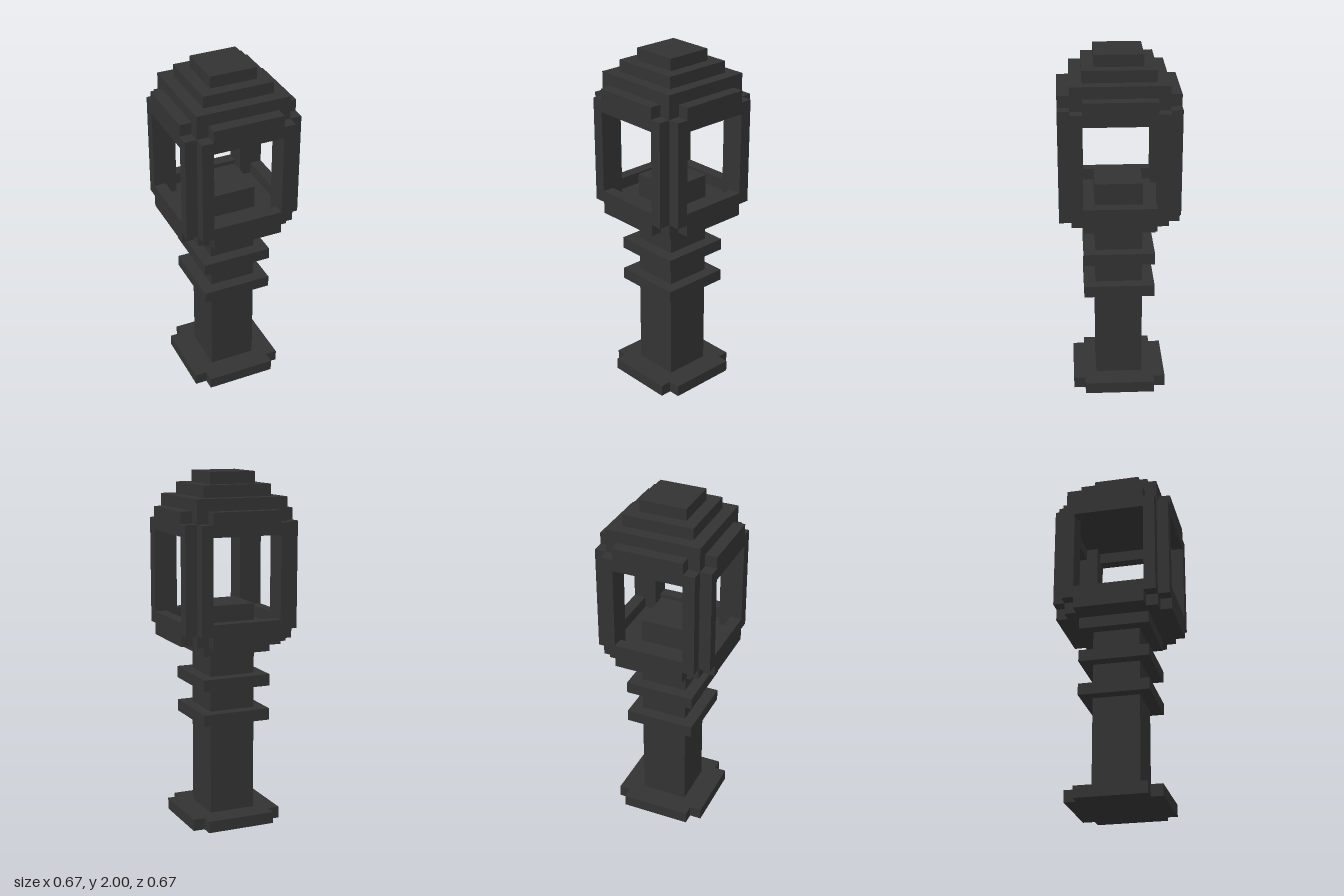
import * as THREE from 'three';

const U = 1 / 15; // one block

export function createModel() {
  const model = new THREE.Group();
  model.name = 'lampPost';
  const material = new THREE.MeshStandardMaterial({ color: 0x333333, flatShading: true });

  // Box given by its centre x, z, its bottom and top, and its width and depth, all in blocks
  const box = (parent, name, x, z, y0, y1, w, d) => {
    const mesh = new THREE.Mesh(new THREE.BoxGeometry(w * U, (y1 - y0) * U, d * U), material);
    mesh.position.set(x * U, ((y0 + y1) / 2) * U, z * U);
    mesh.name = name;
    parent.add(mesh);
  };
  // Square block on the centre axis
  const slab = (name, y0, y1, w) => box(model, name, 0, 0, y0, y1, w, w);

  // Foot plate with notched corners
  const base = new THREE.Group();
  base.name = 'base';
  model.add(base);
  box(base, 'basePlate', 0, 0, 0, 1, 8, 6);
  for (const s of [-1, 1]) box(base, 'baseEdge', 0, 3.5 * s, 0, 1, 6, 1);

  // Column and its collars
  slab('column', 1, 15, 4);
  slab('lowerCollar', 9, 10, 6);
  slab('middleCollar', 12, 13, 6);
  slab('topCollar', 15, 16, 6);

  // Lantern floor with lamp block, and the stepped roof
  slab('lanternFloor', 16, 17, 8);
  slab('lampBlock', 17, 19, 4);
  slab('roofBase', 26, 28, 8);
  slab('roofStep', 28, 29, 6);
  slab('roofCap', 29, 30, 4);

  // Four window frames, one per side, each with one inner corner post
  for (let i = 0; i < 4; i++) {
    const frame = new THREE.Group();
    frame.name = 'windowFrame';
    frame.rotation.y = (i * Math.PI) / 2;
    box(frame, 'sill', 0, 4.5, 16, 18, 6, 1);
    box(frame, 'lintel', 0, 4.5, 25, 27, 6, 1);
    for (const s of [-1, 1]) box(frame, 'framePost', 3.5 * s, 4.5, 17, 26, 1, 1);
    box(frame, 'cornerPost', 3.5, 3.5, 17, 26, 1, 1);
    model.add(frame);
  }
  return model;
}
